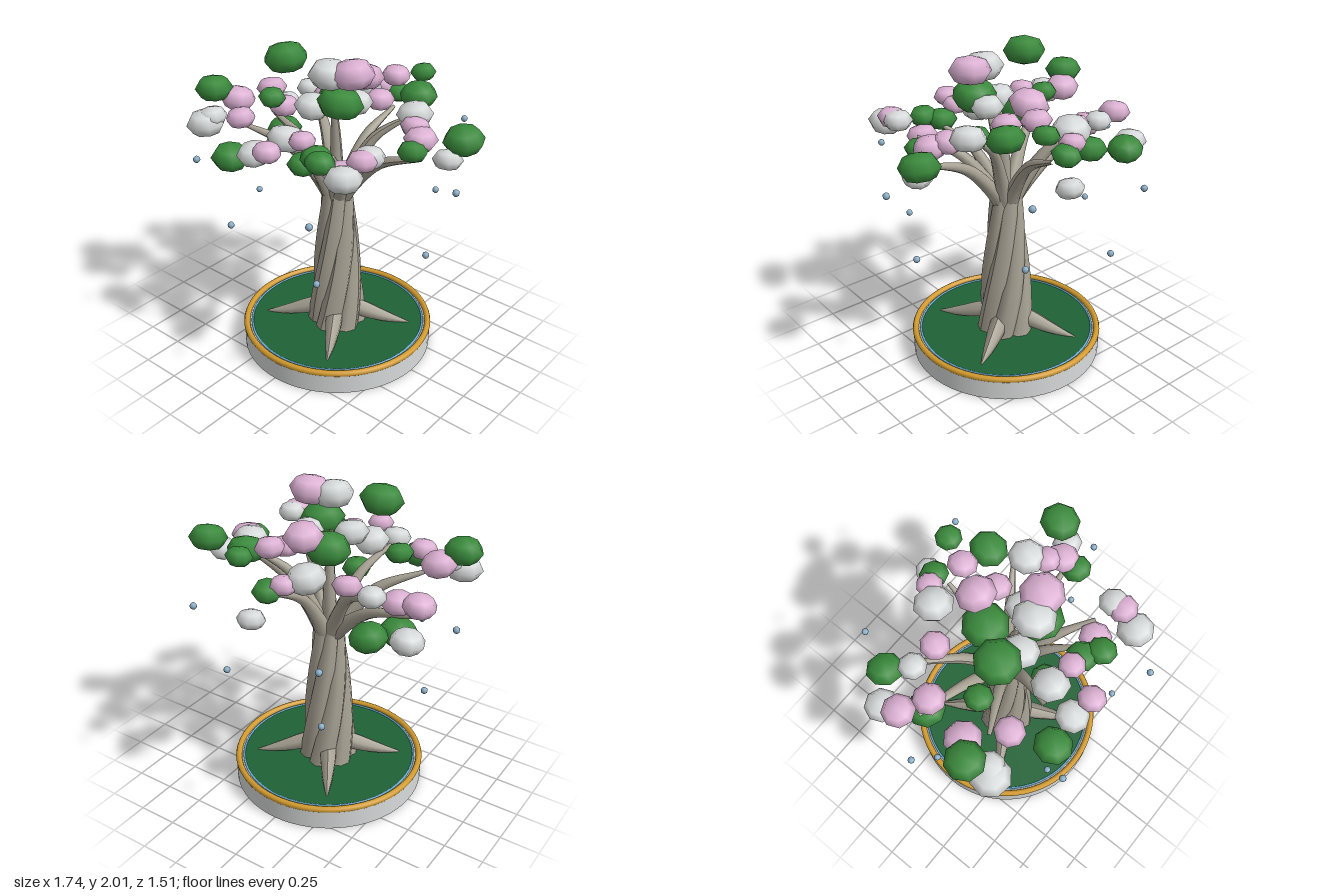
import * as THREE from 'three';

const mat = (name, color) => {
  const m = new THREE.MeshStandardMaterial({ color });
  m.name = name;
  return m;
};

const V = (x, y, z) => new THREE.Vector3(x, y, z);

// Tube along points whose radius follows a list of evenly spaced values
function taperedTube(points, radii, segments, sides) {
  const curve = new THREE.CatmullRomCurve3(points);
  const geo = new THREE.TubeGeometry(curve, segments, 1, sides, false);
  const pos = geo.attributes.position;
  const v = V(0, 0, 0);
  for (let i = 0; i <= segments; i++) {
    const t = i / segments;
    const c = curve.getPointAt(t);
    const f = t * (radii.length - 1);
    const k = Math.min(Math.floor(f), radii.length - 2);
    const r = THREE.MathUtils.lerp(radii[k], radii[k + 1], f - k);
    for (let j = 0; j <= sides; j++) {
      const n = i * (sides + 1) + j;
      v.fromBufferAttribute(pos, n).sub(c).multiplyScalar(r).add(c);
      pos.setXYZ(n, v.x, v.y, v.z);
    }
  }
  geo.computeVertexNormals();
  return geo;
}

export function createModel() {
  const tree = new THREE.Group();
  tree.name = 'blossomTree';
  const white = mat('white', 0xd8dbdb);
  const gold = mat('gold', 0xd49c2e);
  const soil = mat('dark green', 0x1f6335);
  const water = mat('sky blue', 0x6cb2d8);
  const bark = mat('bark', 0xa8a294);
  const pink = mat('pink', 0xddb2d4);
  const green = mat('leaf green', 0x3a8a3c);
  const bead = mat('pale blue', 0x8cb0ca);

  const add = (name, geo, material, parent = tree) => {
    const mesh = new THREE.Mesh(geo, material);
    mesh.name = name;
    parent.add(mesh);
    return mesh;
  };
  const group = (name) => {
    const g = new THREE.Group();
    g.name = name;
    tree.add(g);
    return g;
  };

  // Round base with ground, gold rim and thin blue ring
  add('base', new THREE.CylinderGeometry(0.61, 0.61, 0.13, 64), white).position.y = 0.065;
  add('ground', new THREE.CylinderGeometry(0.56, 0.56, 0.008, 64), soil).position.y = 0.133;
  const ring = (name, r, tube, y, material) => {
    const m = add(name, new THREE.TorusGeometry(r, tube, 8, 64), material);
    m.rotation.x = Math.PI / 2;
    m.position.y = y;
  };
  ring('goldRim', 0.595, 0.02, 0.138, gold);
  ring('blueRing', 0.56, 0.007, 0.138, water);

  // Trunk of six twisting strands
  const trunk = group('trunk');
  for (let i = 0; i < 6; i++) {
    const pts = [];
    for (let k = 0; k <= 8; k++) {
      const t = k / 8;
      const a = (i / 6) * Math.PI * 2 + 0.4 - t * 1.9;
      const r = 0.112 - 0.064 * t;
      pts.push(V(Math.cos(a) * r, 0.12 + t * 1.02, Math.sin(a) * r));
    }
    add('trunkStrand', taperedTube(pts, [0.08, 0.072, 0.06, 0.045], 24, 8), bark, trunk);
  }

  // Four roots spreading over the ground
  const roots = group('roots');
  for (let i = 0; i < 4; i++) {
    const a = THREE.MathUtils.degToRad(58 + i * 90);
    const at = (r, y) => V(Math.cos(a) * r, y, Math.sin(a) * r);
    add('root', taperedTube([at(0.08, 0.25), at(0.2, 0.205), at(0.33, 0.165), at(0.47, 0.135)],
      [0.06, 0.055, 0.035, 0.005], 10, 6), bark, roots);
  }

  // Bent, tapering branches, given by their tips
  const branches = group('branches');
  const tips = [
    [-0.64, 1.4, -0.12], [-0.45, 1.54, -0.3], [-0.5, 1.48, 0.28], [-0.18, 1.52, 0.42],
    [0.22, 1.5, 0.35], [0.42, 1.48, 0.32], [0.6, 1.47, -0.02], [0.36, 1.6, -0.24],
    [0.06, 1.5, -0.48], [0.02, 1.7, 0.06],
  ];
  for (const [x, y, z] of tips) {
    const d = Math.hypot(x, z) || 1;
    const pts = [
      V((x / d) * 0.03, 1.04, (z / d) * 0.03),
      V(x * 0.24, 1.04 + (y - 1.04) * 0.36, z * 0.24),
      V(x * 0.52, 1.04 + (y - 1.04) * 0.74, z * 0.52),
      V(x, y, z),
    ];
    add('branch', taperedTube(pts, [0.055, 0.042, 0.03, 0.012], 14, 8), bark, branches);
  }

  // Flattened clusters: x, y, z, radius
  const puff = new THREE.SphereGeometry(1, 8, 4);
  const clusters = (name, material, list) => {
    const g = group(name + 's');
    list.forEach(([x, y, z, r], i) => {
      const m = add(name, puff, material, g);
      m.position.set(x, y, z);
      m.scale.set(r, r * 0.68, r);
      m.rotation.set(0.1 * Math.sin(i * 2.3), i * 1.7, 0.1 * Math.cos(i * 3.1));
    });
  };
  clusters('leafCluster', green, [
    [-0.56, 1.29, -0.14, 0.115], [-0.72, 1.66, 0.3, 0.117], [-0.55, 1.4, -0.45, 0.112],
    [0.31, 1.67, -0.38, 0.115], [0.2, 1.73, -0.58, 0.08], [0.03, 1.56, -0.56, 0.09],
    [-0.01, 1.37, 0.3, 0.095], [-0.31, 1.43, 0.58, 0.115], [-0.06, 1.66, -0.1, 0.14],
    [-0.26, 1.92, 0.15, 0.132], [0.13, 1.73, 0.13, 0.138], [-0.4, 1.63, 0.13, 0.085],
    [0.75, 1.57, -0.2, 0.122], [0.58, 1.54, 0.05, 0.09], [0.18, 1.51, 0.4, 0.095],
    [0.27, 1.53, 0.47, 0.09],
  ]);
  clusters('whiteCluster', white, [
    [-0.72, 1.37, -0.33, 0.102], [-0.47, 1.55, -0.29, 0.085], [-0.13, 1.62, -0.42, 0.12],
    [0.08, 1.41, -0.65, 0.085], [0.42, 1.64, -0.19, 0.11], [0.71, 1.47, -0.11, 0.09],
    [0.14, 1.7, 0, 0.1], [0.06, 1.89, 0.14, 0.125], [-0.67, 1.49, 0.43, 0.12],
    [-0.64, 1.53, 0.4, 0.09], [-0.07, 1.54, 0.37, 0.115], [-0.06, 1.67, 0.15, 0.11],
    [-0.13, 1.5, 0.57, 0.1], [0.49, 1.53, 0.54, 0.11], [0.52, 1.6, 0.36, 0.09],
  ]);
  clusters('pinkCluster', pink, [
    [-0.71, 1.52, -0.19, 0.1], [-0.54, 1.46, -0.12, 0.1], [-0.62, 1.59, 0.2, 0.11],
    [-0.3, 1.56, -0.27, 0.09], [-0.43, 1.57, 0.37, 0.09], [0.02, 1.76, -0.23, 0.12],
    [0.16, 1.66, -0.2, 0.09], [0.12, 1.74, -0.41, 0.09], [-0.05, 1.6, -0.52, 0.08],
    [0.19, 1.905, 0.09, 0.128], [0.49, 1.61, -0.1, 0.09], [0.57, 1.58, -0.04, 0.1],
    [0.34, 1.45, 0.38, 0.1], [0.52, 1.6, 0.42, 0.09], [0.08, 1.58, 0.4, 0.08],
    [0, 1.56, 0.6, 0.085],
  ]);

  // Floating beads around the tree
  const beads = group('beads');
  const beadGeo = new THREE.SphereGeometry(0.021, 8, 6);
  [
    [-0.85, 1.325, 0], [0.845, 1.35, 0], [-0.675, 0.86, 0], [0.67, 0.88, 0],
    [-0.425, 1.435, 0.735], [-0.425, 1.285, -0.735], [0.42, 1.305, 0.735], [0.42, 1.43, -0.735],
    [-0.338, 0.97, 0.585], [-0.338, 0.815, -0.585], [0.335, 0.835, 0.585], [0.335, 0.96, -0.585],
  ].forEach((p) => add('bead', beadGeo, bead, beads).position.set(...p));

  return tree;
}
